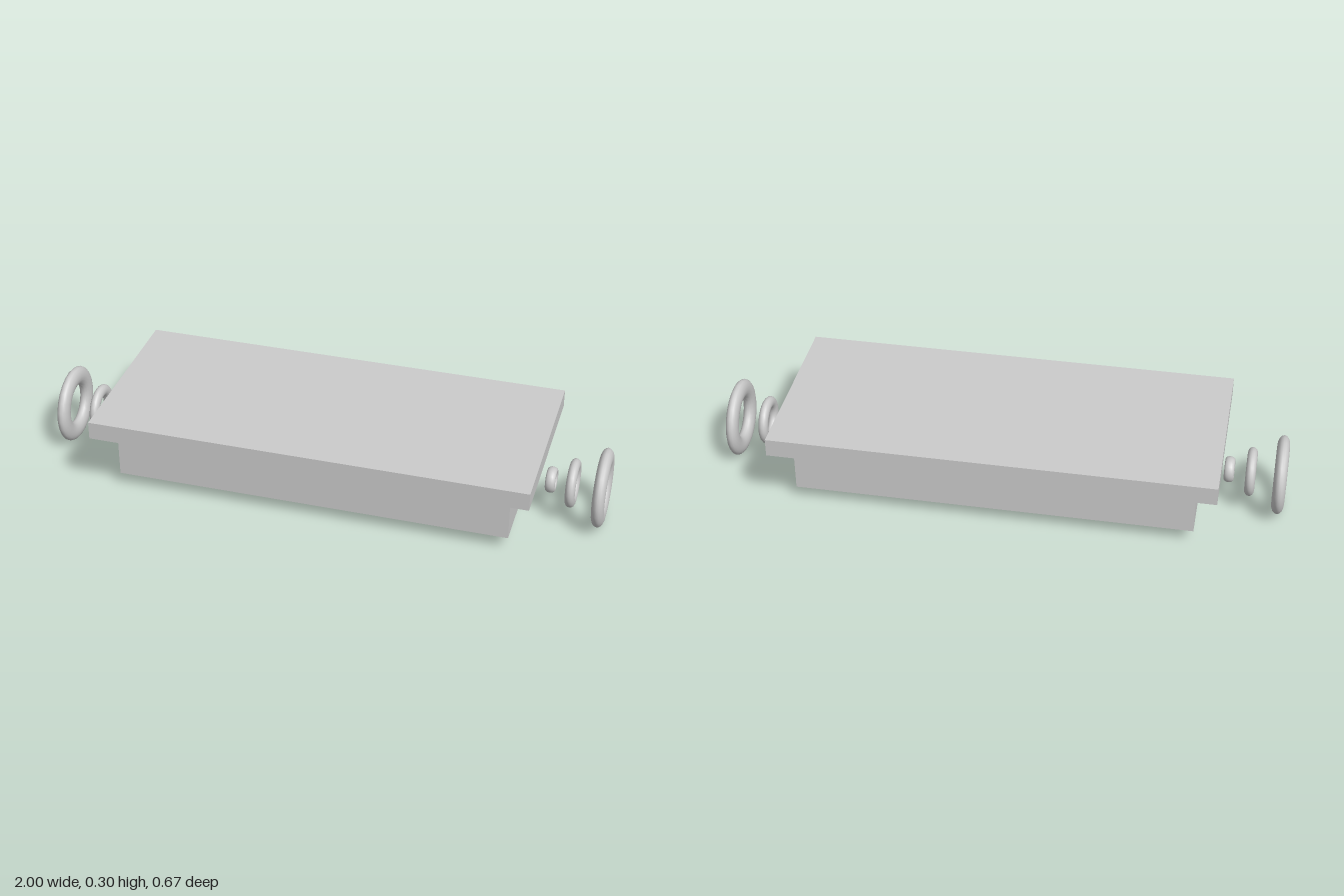
import * as THREE from 'three';

const AXIS_Y = 0.141;

export function createModel() {
  const model = new THREE.Group();
  model.name = 'slabWithRings';
  const material = new THREE.MeshStandardMaterial({ color: 0xcccccc });

  const add = (name, geometry, x, y) => {
    const mesh = new THREE.Mesh(geometry, material);
    mesh.name = name;
    mesh.position.set(x, y, 0);
    model.add(mesh);
    return mesh;
  };

  // Body block with a wider slab on top
  add('body', new THREE.BoxGeometry(1.406, 0.181, 0.52), 0, 0.1445);
  add('topSlab', new THREE.BoxGeometry(1.556, 0.065, 0.666), 0, 0.2675);

  // Rings around the x axis: position, ring radius, tube radius, half thickness along x
  const rings = [
    ['smallRing', 0.8, 0.0342, 0.0122, 0.0175],
    ['middleRing', 0.875, 0.0655, 0.0215, 0.0175],
    ['largeRing', 0.978, 0.1053, 0.0343, 0.022],
  ];

  for (const [side, s] of [['left', 1], ['right', -1]]) {
    // Knob half sunk into the end of the body
    add(side + 'Knob', new THREE.SphereGeometry(0.047, 24, 16), s * 0.704, AXIS_Y);

    for (const [name, x, radius, tube, half] of rings) {
      const geometry = new THREE.TorusGeometry(radius, tube, 16, 24);
      geometry.scale(1, 1, half / tube);
      geometry.rotateY(Math.PI / 2);
      add(side + name[0].toUpperCase() + name.slice(1), geometry, s * x, AXIS_Y);
    }
  }
  return model;
}
